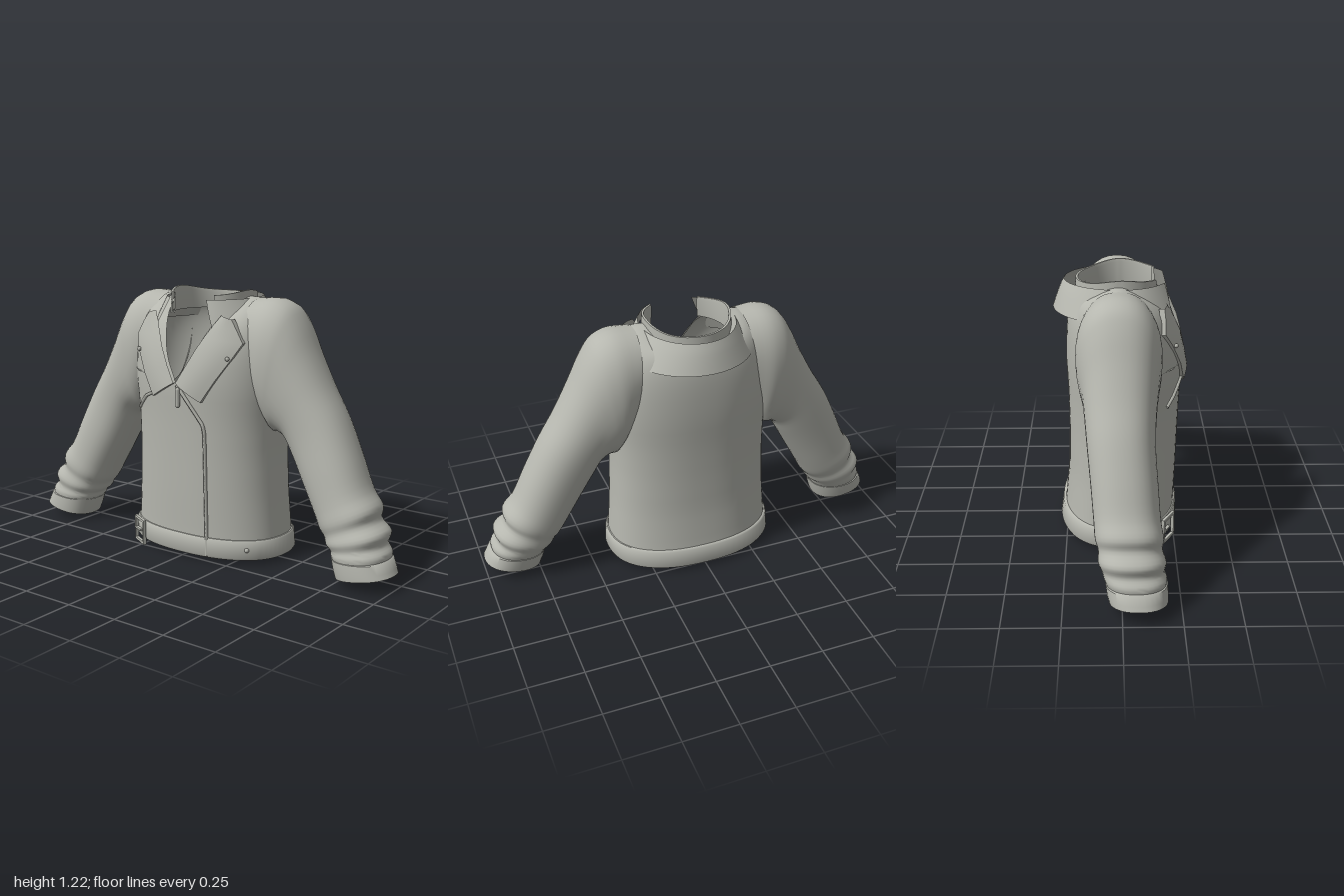
import * as THREE from 'three';
import { toCreasedNormals } from 'three/addons/utils/BufferGeometryUtils.js';

const V = (x, y, z) => new THREE.Vector3(x, y, z);
const { lerp, degToRad } = THREE.MathUtils;

// Linear lookup in a table whose first column is the key.
function lookup(table, k) {
  let i = 0;
  while (i < table.length - 2 && k > table[i + 1][0]) i++;
  const a = table[i], b = table[i + 1];
  const t = THREE.MathUtils.clamp((k - a[0]) / (b[0] - a[0]), 0, 1);
  return a.slice(1).map((v, j) => lerp(v, b[j + 1], t));
}

// Skin a surface over rows of points.
function loft(rows, closed, crease = 0.8) {
  const n = rows[0].length, index = [];
  for (let r = 0; r < rows.length - 1; r++) {
    for (let c = 0; c < (closed ? n : n - 1); c++) {
      const d = (c + 1) % n, a = r * n, b = a + n;
      index.push(a + c, a + d, b + d, a + c, b + d, b + c);
    }
  }
  const g = new THREE.BufferGeometry();
  g.setAttribute('position', new THREE.Float32BufferAttribute(rows.flat().flatMap(p => p.toArray()), 3));
  g.setIndex(index);
  g.computeVertexNormals();
  return toCreasedNormals(g, crease);
}

// Body outline by height: half width, front depth, back depth.
const BODY = [
  [0.02, 0.398, 0.258, 0.272], [0.11, 0.392, 0.258, 0.258], [0.3, 0.378, 0.266, 0.24],
  [0.5, 0.37, 0.272, 0.236], [0.65, 0.372, 0.278, 0.238], [0.8, 0.385, 0.288, 0.245],
  [0.95, 0.4, 0.265, 0.245], [1.0, 0.4, 0.248, 0.24], [1.12, 0.4, 0.2, 0.22], [1.2, 0.4, 0.17, 0.2],
];
const POW = 2.3;
const spow = (v, p) => Math.sign(v) * Math.abs(v) ** p;

function bodyPoint(y, a, off = 0) {
  const [w, f, b] = lookup(BODY, y);
  const c = Math.cos(a);
  return V((w + off) * spow(Math.sin(a), 2 / POW), y, ((c > 0 ? f : b) + off) * spow(c, 2 / POW));
}
// A point lying just off the front of the body.
function onFront(x, y, off = 0.01) {
  const [w, f] = lookup(BODY, y);
  return V(x, y, f * Math.max(0, 1 - (Math.abs(x) / w) ** POW) ** (1 / POW) + off);
}

// Neckline by angle from the front, in degrees: x, y, z.
const NECK = [
  [0, 0, 0.815, 0.288], [20, 0.07, 0.94, 0.262], [40, 0.125, 1.07, 0.195], [60, 0.175, 1.15, 0.09],
  [90, 0.19, 1.195, 0], [130, 0.145, 1.15, -0.13], [180, 0, 1.12, -0.19],
];
const neckSide = new THREE.CatmullRomCurve3(NECK.map(p => V(p[1], p[2], p[3])));
function neckPoint(a) {
  const d = 180 - Math.abs(180 - THREE.MathUtils.euclideanModulo(a * 180 / Math.PI, 360));
  const u = lookup(NECK.map((p, i) => [p[0], i / (NECK.length - 1)]), d)[0];
  const p = neckSide.getPoint(u);
  if (Math.sin(a) < 0) p.x *= -1;
  return p;
}

function torsoGeometry() {
  const N = 72, rows = [];
  const angles = Array.from({ length: N }, (_, i) => i / N * Math.PI * 2);
  for (let i = 0; i <= 14; i++) rows.push(angles.map(a => bodyPoint(lerp(0.05, 0.8, i / 14), a)));
  // Chest and shoulders round over towards the neckline.
  for (let i = 1; i <= 14; i++) {
    const s = i / 14 * Math.PI / 2;
    const up = Math.sin(s) ** 0.72, inward = 1 - Math.max(0, Math.cos(s)) ** 0.72;
    rows.push(angles.map(a => {
      const b = bodyPoint(0.8, a), e = neckPoint(a);
      return V(lerp(b.x, e.x, inward), lerp(b.y, e.y, up), lerp(b.z, e.z, inward));
    }));
  }
  return loft(rows, true, 1.2);
}

function hemGeometry() {
  const profile = [[0.1, -0.02], [0.03, -0.015], [0.02, -0.01], [0.02, 0.006], [0.03, 0.012], [0.105, 0.012], [0.112, 0.006], [0.112, -0.004]];
  return loft(profile.map(([y, o]) => Array.from({ length: 72 }, (_, i) => bodyPoint(y, i / 36 * Math.PI, o))), true);
}

// Sleeve sections: outer x, y, inner x, y, back z, front z.
const SLEEVE = [
  [0.25, 1.19, 0.3, 0.74, -0.18, 0.165], [0.36, 1.195, 0.33, 0.66, -0.195, 0.18],
  [0.43, 1.165, 0.35, 0.62, -0.19, 0.178], [0.48, 1.1, 0.365, 0.6, -0.18, 0.17],
  [0.545, 0.97, 0.39, 0.6, -0.165, 0.16], [0.62, 0.83, 0.425, 0.585, -0.155, 0.15],
  [0.7, 0.7, 0.465, 0.52, -0.145, 0.146], [0.78, 0.54, 0.535, 0.395, -0.13, 0.155],
  [0.845, 0.4, 0.605, 0.27, -0.118, 0.165], [0.895, 0.335, 0.635, 0.215, -0.112, 0.175],
  [0.893, 0.285, 0.66, 0.185, -0.1, 0.17], [0.945, 0.235, 0.675, 0.155, -0.1, 0.185],
  [0.935, 0.185, 0.698, 0.135, -0.085, 0.178], [0.962, 0.15, 0.705, 0.115, -0.075, 0.187],
  [0.96, 0.11, 0.722, 0.09, -0.06, 0.183],
];
const CUFF = [
  [0.962, 0.13, 0.715, 0.105, -0.065, 0.182], [0.972, 0.125, 0.708, 0.105, -0.07, 0.19],
  [0.99, 0.088, 0.72, 0.058, -0.064, 0.193], [1.0, 0.068, 0.733, 0.022, -0.056, 0.192],
  [0.988, 0.062, 0.748, 0.02, -0.044, 0.18], [0.955, 0.12, 0.73, 0.1, -0.055, 0.178],
];
function sleeveGeometry(sections, side, steps, crease) {
  const rings = sections.map(([ox, oy, ix, iy, z0, z1]) => Array.from({ length: 36 }, (_, i) => {
    const a = i / 18 * Math.PI, k = (1 + spow(Math.cos(a), 0.9)) / 2;
    return V(side * lerp(ix, ox, k), lerp(iy, oy, k), lerp(z0, z1, (1 - side * spow(Math.sin(a), 0.9)) / 2));
  }));
  if (steps === 1) return loft(rings, true, crease);
  const curves = rings[0].map((_, i) => new THREE.CatmullRomCurve3(rings.map(r => r[i])));
  const count = steps * (sections.length - 1);
  return loft(Array.from({ length: count + 1 }, (_, j) => curves.map(c => c.getPoint(j / count))), true, crease);
}

// Lapel spread from its roll line to its notched outer edge.
function lapelGeometry(side) {
  const inner = [[0.005, 0.82], [0.05, 0.895], [0.095, 0.975], [0.125, 1.03], [0.155, 1.08], [0.185, 1.125]];
  const outer = [[0.135, 0.745], [0.2, 0.845], [0.268, 0.95], [0.298, 1.01], [0.262, 1.07], [0.235, 1.11]];
  const rows = inner.map((p, i) => {
    const row = [];
    for (let c = 0; c <= 6; c++) {
      const x = lerp(p[0], outer[i][0], c / 6), y = lerp(p[1], outer[i][1], c / 6);
      row.push(onFront(side * x, y, 0.018 + 0.006 * Math.sin(c / 6 * Math.PI)));
    }
    row.push(row[6].clone().add(V(0, 0, -0.025)));
    return row;
  });
  rows.unshift(rows[0].map(p => p.clone().add(V(0, 0, -0.025))));
  return loft(rows, false);
}

// Folded collar, open at the front with pointed wings.
function collarGeometry() {
  const rows = [];
  for (let r = 0; r <= 5; r++) {
    const t = r / 5, start = degToRad(lerp(28, 39, t)), row = [];
    for (let i = 0; i <= 60; i++) {
      const a = lerp(start, Math.PI * 2 - start, i / 60), c = Math.cos(a);
      const rx = lerp(0.215, 0.3, t), rz = c > 0 ? lerp(0.225, 0.31, t) : lerp(0.25, 0.302, t ** 0.8);
      const bottom = lerp(1.06, 1.0, THREE.MathUtils.smoothstep(c, 0, 0.75));
      row.push(V(rx * Math.sin(a), lerp(1.188, bottom, t), rz * c));
    }
    rows.push(row);
  }
  return loft(rows, false);
}

// Upright band inside the collar.
function standGeometry() {
  const profile = [[0.19, 1.11], [0.186, 1.19], [0.188, 1.205], [0.198, 1.205], [0.204, 1.11]];
  return loft(profile.map(([r, y]) => Array.from({ length: 57 }, (_, i) => {
    const a = lerp(degToRad(36), degToRad(324), i / 56);
    const rise = y > 1.15 ? 0.018 * Math.abs(Math.sin(a)) ** 6 - 0.012 * Math.max(0, -Math.cos(a)) : 0;
    return V(r * Math.sin(a), y + rise, r * Math.cos(a));
  })), false);
}

export function createModel() {
  const jacket = new THREE.Group();
  jacket.name = 'jacket';
  const cloth = new THREE.MeshStandardMaterial({ color: 0xb6b7af, side: THREE.DoubleSide });
  cloth.name = 'greyCloth';
  const add = (name, geometry, parent = jacket) => {
    const m = new THREE.Mesh(geometry, cloth);
    m.name = name;
    parent.add(m);
    return m;
  };
  // Raised line following the front of the body.
  const seam = (name, points, radius, off) => {
    const path = new THREE.CurvePath();
    const p = points.map(([x, y]) => onFront(x, y, off));
    for (let i = 0; i < p.length - 1; i++) path.add(new THREE.LineCurve3(p[i], p[i + 1]));
    add(name, new THREE.TubeGeometry(path, 48, radius, 6));
  };

  add('torso', torsoGeometry());
  add('hemBand', hemGeometry());
  add('collar', collarGeometry());
  add('collarStand', standGeometry());
  for (const [side, label] of [[1, 'left'], [-1, 'right']]) {
    add(label + 'Sleeve', sleeveGeometry(SLEEVE, side, 4, 1.2));
    add(label + 'Cuff', sleeveGeometry(CUFF, side, 1, 0.8));
    add(label + 'Lapel', lapelGeometry(side));
    const stud = add(label + 'LapelStud', new THREE.SphereGeometry(0.01, 12, 8));
    stud.position.copy(onFront(side * 0.25, 0.945, 0.024));
  }

  // Offset front zip with its pull, and the chest pockets.
  seam('frontZip', [[0.005, 0.81], [0.07, 0.73], [0.135, 0.64], [0.142, 0.6], [0.142, 0.4], [0.142, 0.2], [0.142, 0.11], [0.142, 0.025]], 0.008, 0.006);
  seam('chestPocketZip', [[-0.28, 0.665], [-0.24, 0.7], [-0.2, 0.735], [-0.14, 0.76]], 0.008, 0.004);
  seam('chestPocketSeam', [[-0.35, 0.84], [-0.27, 0.84], [-0.18, 0.838]], 0.004, 0.004);
  const pull = add('zipPull', new THREE.CapsuleGeometry(0.011, 0.07, 4, 10));
  pull.position.copy(onFront(0.015, 0.755, 0.014));
  const hemStud = add('hemStud', new THREE.SphereGeometry(0.011, 12, 8));
  hemStud.position.copy(onFront(0.32, 0.07, 0.018));

  // Square belt buckle on the hem.
  const buckle = new THREE.Group();
  buckle.name = 'buckle';
  for (const s of [-1, 1]) {
    add('buckleSide', new THREE.BoxGeometry(0.012, 0.12, 0.014), buckle).position.x = s * 0.05;
    add('buckleBar', new THREE.BoxGeometry(0.112, 0.012, 0.014), buckle).position.y = s * 0.054;
  }
  add('bucklePin', new THREE.BoxGeometry(0.06, 0.01, 0.014), buckle).position.x = -0.02;
  buckle.position.copy(onFront(-0.28, 0.065, 0.024)).setY(0.06);
  buckle.rotation.y = -0.5;
  jacket.add(buckle);
  return jacket;
}
